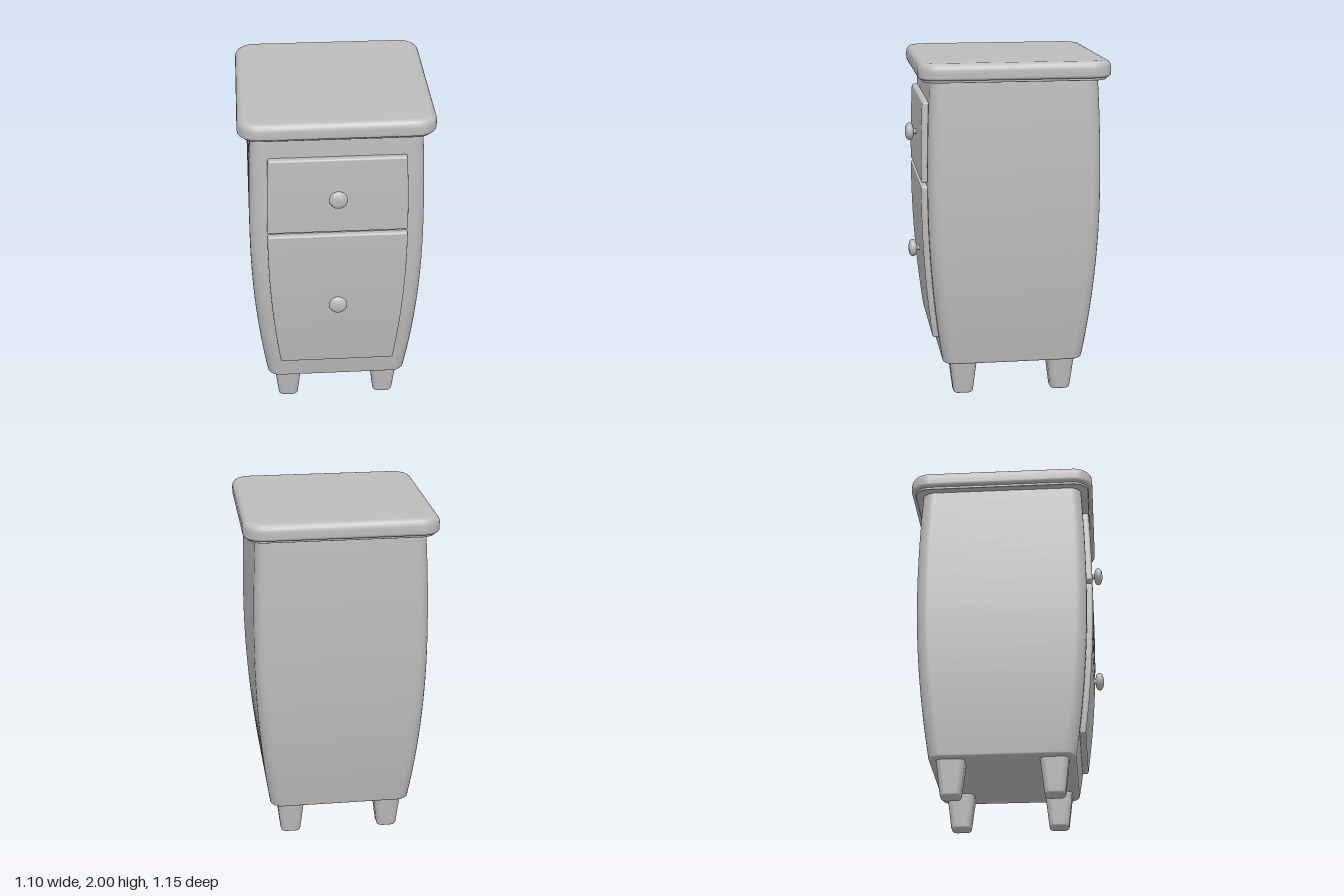
import * as THREE from 'three';

const CZ = -0.022; // body centre, set back so the knobs fit the depth

// Half width of the bulging body at height y
const bulge = (y) => 0.5 - (y < 1.25 ? 0.077 : 0.047) * (y - 1.25) ** 2;

// Rounded rectangle ring at height y, counter-clockwise from above
function ring(y, hx, hz, r, cx = 0, cz = 0, seg = 6) {
  const pts = [];
  const corners = [[1, -1], [-1, -1], [-1, 1], [1, 1]];
  corners.forEach(([sx, sz], q) => {
    for (let i = 0; i <= seg; i++) {
      const a = (q + i / seg) * Math.PI / 2;
      pts.push([cx + sx * (hx - r) + r * Math.cos(a), y, cz + sz * (hz - r) - r * Math.sin(a)]);
    }
  });
  return pts;
}

// Skin a stack of rings from bottom to top and close both ends
function loft(rings) {
  const n = rings[0].length, pos = rings.flat(2), idx = [];
  for (let k = 0; k < rings.length - 1; k++) {
    for (let i = 0; i < n; i++) {
      const a = k * n + i, b = k * n + (i + 1) % n;
      idx.push(a, b, b + n, a, b + n, a + n);
    }
  }
  [0, rings.length - 1].forEach((k, end) => {
    const c = pos.length / 3;
    const mid = [0, 1, 2].map((j) => rings[k].reduce((s, p) => s + p[j], 0) / n);
    pos.push(...mid);
    for (let i = 0; i < n; i++) {
      const a = k * n + i, b = k * n + (i + 1) % n;
      if (end) idx.push(c, a, b); else idx.push(c, b, a);
    }
  });
  const g = new THREE.BufferGeometry();
  g.setAttribute('position', new THREE.Float32BufferAttribute(pos, 3));
  g.setIndex(idx);
  g.computeVertexNormals();
  return g;
}

// Heights and insets for a solid from y0 to y1 with rounded lower and upper edges
function levels(y0, y1, b0, b1, steps) {
  const out = [], s = 4;
  for (let i = 0; i <= s; i++) {
    const a = i / s * Math.PI / 2;
    out.push([y0 + b0 * (1 - Math.cos(a)), b0 * (1 - Math.sin(a))]);
  }
  for (let i = 1; i < steps; i++) out.push([y0 + b0 + (y1 - b1 - y0 - b0) * i / steps, 0]);
  for (let i = 0; i <= s; i++) {
    const a = i / s * Math.PI / 2;
    out.push([y1 - b1 + b1 * Math.sin(a), b1 * (1 - Math.cos(a))]);
  }
  return out;
}

export function createModel() {
  const group = new THREE.Group();
  const grey = new THREE.MeshStandardMaterial({ color: 0xbcbcbc });
  grey.name = 'plainGrey';
  const add = (name, geometry) => {
    const mesh = new THREE.Mesh(geometry, grey);
    mesh.name = name;
    group.add(mesh);
    return mesh;
  };

  // Bulging cabinet body
  add('body', loft(levels(0.205, 1.9, 0.012, 0.005, 24).map(([y, d]) => {
    const w = bulge(y) - d;
    return ring(y, w, w, 0.07 - d, 0, CZ);
  })));

  // Table top with a soft upper edge, and the thin rim under it
  add('top', loft(levels(1.904, 2, 0.018, 0.04, 2).map(([y, d]) =>
    ring(y, 0.55 - d, 0.55 - d, 0.115 - d, 0, CZ, 10))));
  add('topRim', loft(levels(1.89, 1.915, 0.004, 0.004, 1).map(([y, d]) =>
    ring(y, 0.525 - d, 0.525 - d, 0.09 - d, 0, CZ, 10))));

  // Drawer fronts follow the curve of the body
  const drawerZ = (y) => bulge(y) + CZ + 0.035;
  const drawer = (name, y0, y1) => add(name, loft(levels(y0, y1, 0.012, 0.012, 14).map(([y, d]) =>
    ring(y, bulge(y) - 0.1 - d, 0.035 - d, 0.013 - d, 0, drawerZ(y) - 0.035, 4))));
  drawer('upperDrawer', 1.303, 1.767);
  drawer('lowerDrawer', 0.353, 1.282);

  // Round knobs on short stems
  const profile = [[0.016, -0.02], [0.016, 0.014], [0.03, 0.016], [0.045, 0.022], [0.052, 0.032],
    [0.053, 0.04], [0.049, 0.05], [0.038, 0.058], [0.02, 0.063], [0, 0.064]];
  const knob = new THREE.LatheGeometry(profile.map((p) => new THREE.Vector2(...p)), 32);
  knob.rotateX(Math.PI / 2);
  [['upperKnob', 1.535], ['lowerKnob', 0.82]].forEach(([name, y]) => {
    add(name, knob).position.set(0, y, drawerZ(y));
  });

  // Four tapered feet
  const foot = loft(levels(0, 0.215, 0.012, 0.002, 4).map(([y, d]) => {
    const w = 0.058 + 0.023 * y / 0.2 - d;
    return ring(y, w, w, 0.032 - d);
  }));
  for (const sx of [1, -1]) {
    for (const sz of [1, -1]) {
      const name = (sz > 0 ? 'front' : 'back') + (sx > 0 ? 'Left' : 'Right') + 'Foot';
      add(name, foot).position.set(sx * 0.294, 0, CZ + sz * 0.294);
    }
  }
  return group;
}
